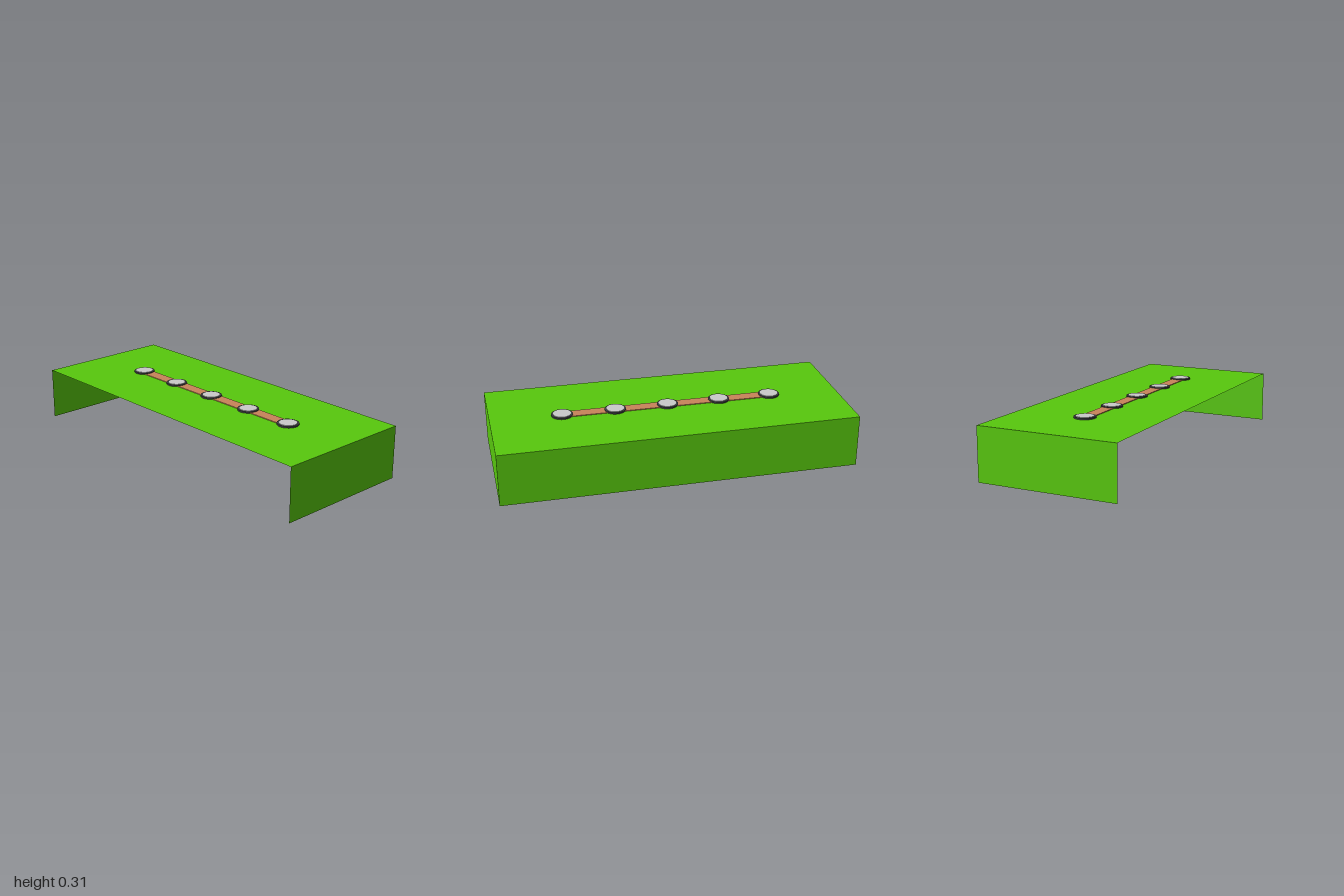
import * as THREE from 'three';

export function createModel() {
  const green = new THREE.MeshStandardMaterial({ color: 0x58c80d, side: THREE.DoubleSide });
  green.name = 'green';
  const copper = new THREE.MeshStandardMaterial({ color: 0xc8845a });
  copper.name = 'copper';
  const darkGrey = new THREE.MeshStandardMaterial({ color: 0x404045 });
  darkGrey.name = 'darkGrey';
  const lightGrey = new THREE.MeshStandardMaterial({ color: 0xcacaca });
  lightGrey.name = 'lightGrey';

  const model = new THREE.Group();
  const add = (name, geometry, material, x, y, z) => {
    const mesh = new THREE.Mesh(geometry, material);
    mesh.name = name;
    mesh.position.set(x, y, z);
    model.add(mesh);
    return mesh;
  };

  // Thin-walled cover, open at the front and underneath
  const W = 2, H = 0.3, D = 0.8;
  add('topPanel', new THREE.PlaneGeometry(W, D), green, 0, H, 0).rotation.x = -Math.PI / 2;
  add('backPanel', new THREE.PlaneGeometry(W, H), green, 0, H / 2, -D / 2).rotation.y = Math.PI;
  for (const [name, s] of [['leftPanel', 1], ['rightPanel', -1]]) {
    add(name, new THREE.PlaneGeometry(D, H), green, s * W / 2, H / 2, 0).rotation.y = s * Math.PI / 2;
  }

  // Bar set through the top panel
  add('connectingBar', new THREE.BoxGeometry(1.2, 0.038, 0.07), copper, 0, 0.285, 0);

  // Row of round studs with lighter caps
  const stud = new THREE.CylinderGeometry(0.06, 0.06, 0.04, 32);
  const cap = new THREE.CylinderGeometry(0.05, 0.05, 0.006, 32);
  for (let i = -2; i <= 2; i++) {
    add('stud', stud, darkGrey, i * 0.3, 0.288, 0);
    add('studCap', cap, lightGrey, i * 0.3, 0.308, 0);
  }
  return model;
}
